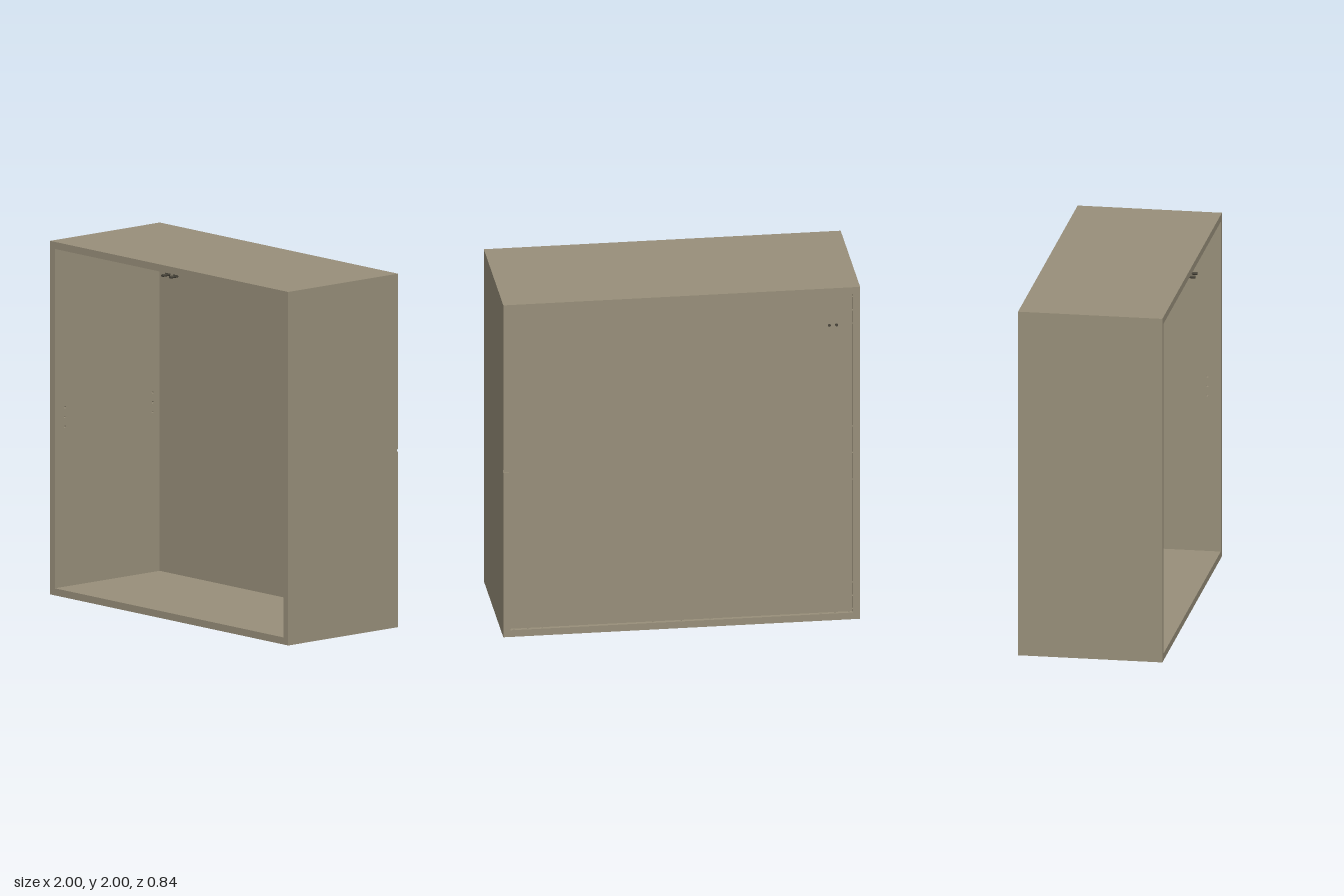
import * as THREE from 'three';

const FRONT = 0.395, BACK = -0.418, RIM = 0.006; // z limits of the case, depth of the back rim
const IN = 0.96, MID = 0.98;                     // half sizes: inner opening, lining seam
const material = new THREE.MeshStandardMaterial({ color: 0x988f7a, side: THREE.DoubleSide });
const dark = new THREE.MeshStandardMaterial({ color: 0x4a463c });

function add(parent, name, geometry, x = 0, y = 0, z = 0, mat = material) {
  const mesh = new THREE.Mesh(geometry, mat);
  mesh.name = name;
  mesh.position.set(x, y, z);
  parent.add(mesh);
  return mesh;
}

const extrude = (shape, depth) =>
  new THREE.ExtrudeGeometry(shape, { depth, bevelEnabled: false, curveSegments: 6 });

function rect(Type, x0, y0, x1, y1) {
  const p = new Type();
  p.moveTo(x0, y0).lineTo(x1, y0).lineTo(x1, y1).lineTo(x0, y1).closePath();
  return p;
}

// Inner board: local x is along the wall, local y is depth, drilled with blind holes
function lining(half, holes) {
  const shape = rect(THREE.Shape, -half, BACK + RIM, half, FRONT);
  for (const [along, z, r] of holes) {
    const hole = new THREE.Path();
    hole.absarc(along, z, r, 0, Math.PI * 2, true);
    shape.holes.push(hole);
  }
  return extrude(shape, MID - IN);
}

export function createModel() {
  const cabinet = new THREE.Group();
  cabinet.name = 'cabinet';

  // Outer skin, an open square tube
  const skin = rect(THREE.Shape, -1, -1, 1, 1);
  skin.holes.push(rect(THREE.Path, -MID, -MID, MID, MID));
  add(cabinet, 'outerCase', extrude(skin, FRONT - BACK - RIM), 0, 1, BACK + RIM);

  // Back rim with a narrow notch in the left side
  const rim = new THREE.Shape([
    [1, 0.007], [1, 1], [-1, 1], [-1, -1], [1, -1], [1, -0.007],
    [IN, -0.007], [IN, -IN], [-IN, -IN], [-IN, IN], [IN, IN], [IN, 0.007],
  ].map(([x, y]) => new THREE.Vector2(x, y)));
  add(cabinet, 'backRim', extrude(rim, RIM), 0, 1, BACK);

  // Fixing holes behind the back panel and shelf holes inside the sides
  const fixings = [-0.94, -0.86, -0.78, -0.16, 0, 0.16, 0.78, 0.86, 0.94]
    .map((a) => [a, -0.404, 0.005]);
  const shelfHoles = [];
  for (const a of [-0.055, 0, 0.055])
    for (const z of [-0.33, 0.32]) shelfHoles.push([a, z, 0.007]);

  // Four linings, turned around the z axis
  ['bottom', 'left', 'top', 'right'].forEach((side, i) => {
    const isSide = i % 2 === 1;
    const pivot = new THREE.Group();
    pivot.name = side + 'Wall';
    pivot.position.y = 1;
    pivot.rotation.z = i * Math.PI / 2;
    const holes = isSide ? [...fixings, ...shelfHoles] : fixings;
    const board = add(pivot, side + 'Lining', lining(isSide ? MID : IN, holes), 0, -IN, 0);
    board.rotation.x = Math.PI / 2;
    cabinet.add(pivot);
  });

  // Recessed back panel with two small studs on its outside
  add(cabinet, 'backPanel', new THREE.BoxGeometry(2 * IN, 2 * IN, 0.014), 0, 1, -0.389);
  for (const x of [-0.87, -0.83]) {
    const stud = add(cabinet, 'backStud', new THREE.CylinderGeometry(0.008, 0.008, 0.008, 12),
      x, 1.77, -0.398, dark);
    stud.rotation.x = Math.PI / 2;
  }

  // Pair of latch pins hanging under the top board
  for (const x of [-0.033, 0.033]) {
    const latch = new THREE.Group();
    latch.name = 'latchPin';
    latch.position.set(x, 1.946, 0);
    const pin = add(latch, 'pin', new THREE.CylinderGeometry(0.008, 0.008, 0.055, 14), 0, 0, 0.3905, dark);
    pin.rotation.x = Math.PI / 2;
    add(latch, 'pinMount', new THREE.BoxGeometry(0.016, 0.014, 0.025), 0, 0.007, 0.377, dark);
    cabinet.add(latch);
  }
  return cabinet;
}
